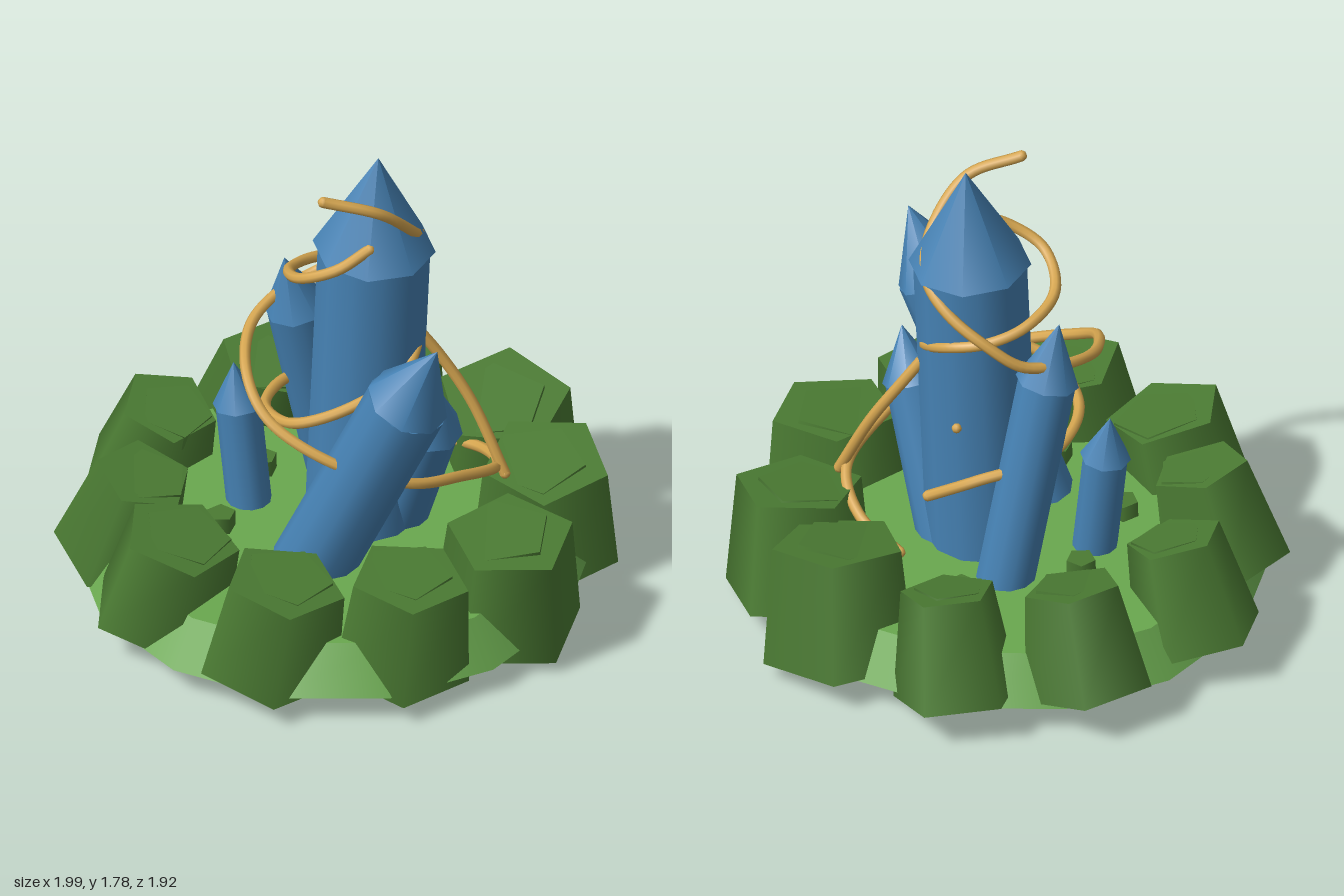
import * as THREE from 'three';

const mat = (name, color) => {
  const m = new THREE.MeshStandardMaterial({ color });
  m.name = name;
  return m;
};
const V = (a) => new THREE.Vector3(...a);

export function createModel() {
  const model = new THREE.Group();
  const grass = mat('grass green', 0x6aa84f);
  const rockGreen = mat('rock green', 0x4b7b33);
  const blue = mat('tower blue', 0x4682b4);
  const gold = mat('vine gold', 0xd6a650);

  const add = (name, geometry, material, parent = model) => {
    const mesh = new THREE.Mesh(geometry, material);
    mesh.name = name;
    parent.add(mesh);
    return mesh;
  };

  // Ground disc
  add('ground', new THREE.CylinderGeometry(0.79, 0.895, 0.165, 14), grass).position.set(-0.035, 0.188, 0.015);

  // Ring of leaning five-sided rocks: x, z, bottom radius, turn in degrees, middle height, height
  const rocks = [
    [-0.26, -0.69, 0.235, 41, 0.3, 0.38], [0.21, -0.695, 0.235, -5, 0.3, 0.38],
    [0.585, -0.445, 0.23, 41, 0.295, 0.39], [0.715, 0.025, 0.28, -7, 0.275, 0.43],
    [0.6, 0.41, 0.27, 32, 0.27, 0.41], [0.205, 0.7, 0.27, 0, 0.27, 0.4],
    [-0.25, 0.685, 0.25, 36, 0.285, 0.385], [-0.61, 0.415, 0.255, 38, 0.285, 0.37],
    [-0.725, -0.04, 0.25, 47, 0.29, 0.36], [-0.6, -0.405, 0.235, 5, 0.3, 0.38],
  ];
  rocks.forEach(([x, z, r, turn, y, h], i) => {
    const rock = new THREE.Group();
    rock.name = 'rock' + (i + 1);
    const top = z < -0.3 ? r * 0.74 : r * 0.85;
    const t = THREE.MathUtils.degToRad(turn);
    add('rockBody', new THREE.CylinderGeometry(top, r, h, 5), rockGreen, rock).rotation.y = t;
    // Slightly tipped slab that just breaks through the top
    const cap = add('rockCap', new THREE.CylinderGeometry(top * 0.75, top * 0.78, 0.06, 5), rockGreen, rock);
    cap.position.set(-x * 0.04, h / 2 - 0.026, -z * 0.04);
    cap.rotation.set(-0.05, t + 0.15, 0.05);
    rock.position.set(x, y, z);
    rock.rotation.set(0.2 - 0.16 * z, 0, 0.17 * x);
    model.add(rock);
  });

  // Small stones around the towers
  [[-0.05, -0.36], [0.37, -0.22], [-0.38, -0.18], [-0.4, 0.22]].forEach(([x, z], i) => {
    const stone = add('stone' + (i + 1), new THREE.CylinderGeometry(0.053, 0.055, 0.08, 5), rockGreen);
    stone.position.set(x, 0.29, z);
    stone.rotation.y = i * 0.6;
  });

  // Towers: foot, eaves centre, roof height, wall radius, roof radius
  const towers = [
    ['mainTower', [0.065, 0.2, 0.045], [0.088, 1.41, 0.092], 0.38, 0.2, 0.216],
    ['frontTower', [-0.245, 0.2, 0.14], [-0.09, 1.045, 0.5], 0.28, 0.145, 0.15],
    ['smallFrontTower', [0.17, 0.2, 0.11], [0.13, 0.77, 0.36], 0.2, 0.1, 0.112],
    ['backTower', [0.18, 0.2, -0.21], [-0.01, 1.03, -0.22], 0.23, 0.105, 0.113],
    ['smallBackTower', [-0.19, 0.2, -0.25], [-0.21, 0.66, -0.295], 0.17, 0.08, 0.09],
  ];
  for (const [name, foot, eaves, roofHeight, wallR, roofR] of towers) {
    const tower = new THREE.Group();
    tower.name = name;
    const axis = V(eaves).sub(V(foot));
    const h = axis.length();
    tower.position.copy(V(foot));
    tower.quaternion.setFromUnitVectors(new THREE.Vector3(0, 1, 0), axis.normalize());
    add(name + 'Wall', new THREE.CylinderGeometry(wallR, wallR, h, 12), blue, tower).position.y = h / 2;
    add(name + 'Roof', new THREE.ConeGeometry(roofR, roofHeight, 8), blue, tower).position.y = h + roofHeight / 2;
    model.add(tower);
  }

  // Vines winding around the towers
  const vines = {
    outerVine: [
      [-0.17, 1.73, 0.13], [0, 1.66, 0.23], [0.18, 1.49, 0.21], [0.265, 1.4, 0.11],
      [0.265, 1.32, -0.01], [0.2, 1.23, -0.14], [0.1, 1.14, -0.22], [-0.05, 1.1, -0.25],
      [-0.22, 1.05, -0.21], [-0.36, 0.98, -0.06], [-0.39, 0.88, 0.1], [-0.28, 0.77, 0.32],
      [-0.06, 0.67, 0.47], [0.18, 0.59, 0.46], [0.4, 0.5, 0.39], [0.49, 0.43, 0.2], [0.47, 0.38, 0],
    ],
    innerVine: [
      [-0.02, 1.5, 0.2], [-0.13, 1.44, 0.16], [-0.2, 1.37, 0.04], [-0.13, 1.3, -0.11],
      [0.04, 1.25, -0.16], [0.18, 1.21, -0.11], [0.26, 1.17, 0], [0.25, 1.1, 0.14],
      [0.08, 0.99, 0.28], [-0.14, 0.9, 0.24], [-0.28, 0.82, 0.1], [-0.23, 0.76, -0.12],
      [0, 0.72, -0.24], [0.23, 0.655, -0.13], [0.33, 0.55, 0.02],
    ],
    hangingVine: [[0.2, 1.08, 0.14], [0.29, 0.92, 0.21], [0.36, 0.74, 0.3], [0.41, 0.48, 0.42]],
  };
  for (const [name, points] of Object.entries(vines)) {
    const curve = new THREE.CatmullRomCurve3(points.map(V));
    add(name, new THREE.TubeGeometry(curve, points.length * 8, 0.02, 8), gold);
    // Rounded ends close the tube
    for (const p of [points[0], points[points.length - 1]]) {
      add(name + 'End', new THREE.SphereGeometry(0.02, 8, 6), gold).position.copy(V(p));
    }
  }

  // Berries on the main tower wall
  [[0.07, 0.83, 0.265], [0.25, 0.84, -0.04]].forEach((p, i) => {
    add('berry' + (i + 1), new THREE.SphereGeometry(0.018, 8, 6), gold).position.copy(V(p));
  });

  return model;
}
